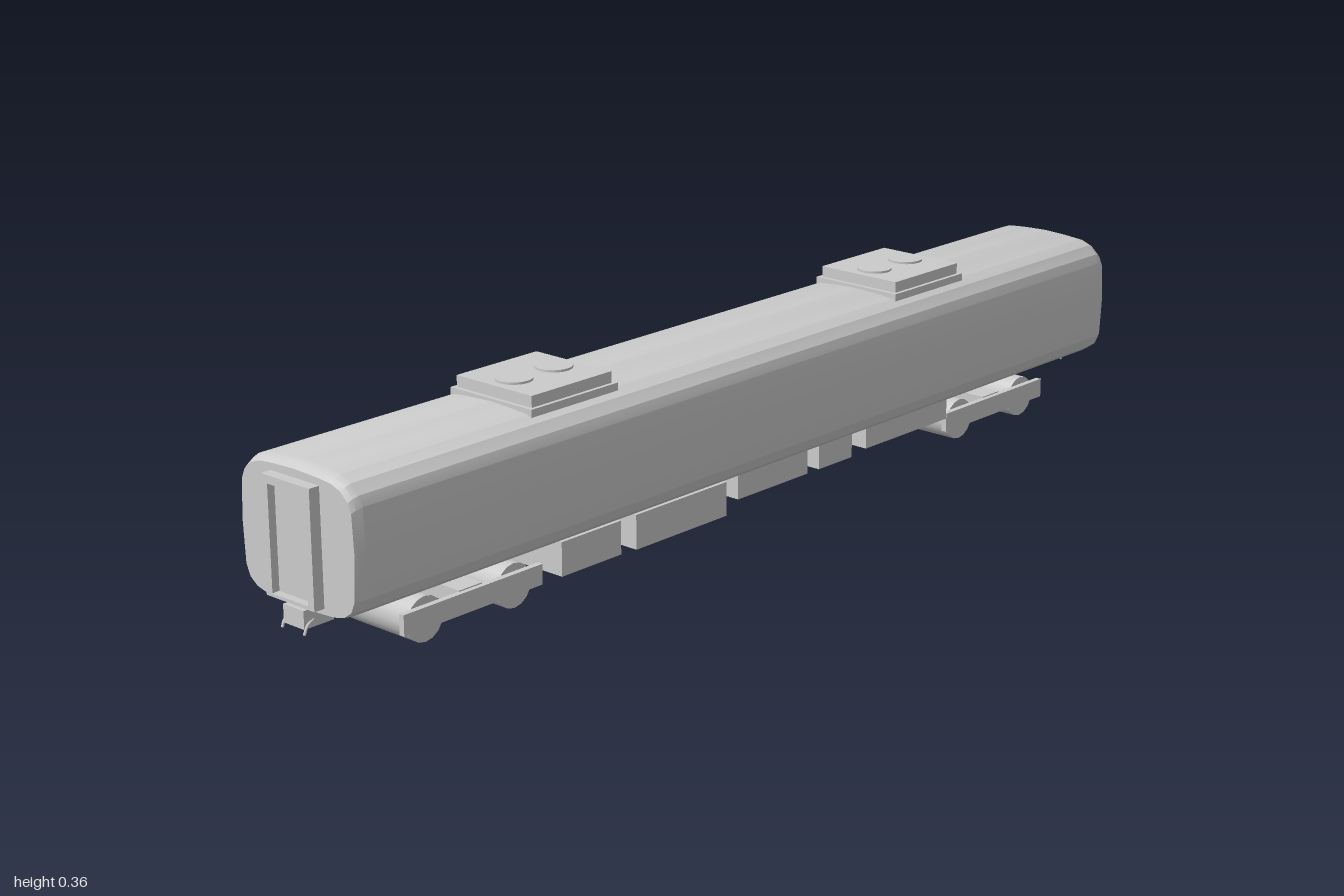
import * as THREE from 'three';
import { toCreasedNormals } from 'three/addons/utils/BufferGeometryUtils.js';

const material = new THREE.MeshStandardMaterial({ color: 0xcccccc });

function add(parent, name, geometry, x = 0, y = 0, z = 0) {
  const mesh = new THREE.Mesh(geometry, material);
  mesh.name = name;
  mesh.position.set(x, y, z);
  parent.add(mesh);
  return mesh;
}

// Box given by its limits on each axis
function block(parent, name, [x0, x1], [y0, y1], [z0, z1]) {
  return add(parent, name, new THREE.BoxGeometry(x1 - x0, y1 - y0, z1 - z0),
    (x0 + x1) / 2, (y0 + y1) / 2, (z0 + z1) / 2);
}

// Body shell: rounded section swept along z, drawn in slightly at both ends
function bodyGeometry() {
  const half = [[0.05, 0.329], [0.085, 0.326], [0.108, 0.317], [0.124, 0.301], [0.131, 0.284],
    [0.135, 0.21], [0.131, 0.135], [0.122, 0.115], [0.105, 0.103], [0.08, 0.097], [0.04, 0.095]];
  // Counterclockwise seen from +z
  const section = [[0, 0.095], ...half.slice().reverse(), [0, 0.331],
    ...half.map(([x, y]) => [-x, y])];
  const rings = [[-0.98, 1], [-0.972, 0.4], [-0.96, 0], [0.96, 0], [0.972, 0.4], [0.98, 1]];
  const n = section.length;
  const positions = [], index = [];
  for (const [z, inset] of rings) {
    for (const [x, y] of section) {
      const drop = y > 0.21 ? 0.09 : 0.01;
      positions.push(x * (1 - 0.03 * inset), y - (y - 0.21) * drop * inset, z);
    }
  }
  for (let r = 0; r < rings.length - 1; r++) {
    for (let i = 0; i < n; i++) {
      const a = r * n + i, b = r * n + (i + 1) % n;
      index.push(a, b, b + n, a, b + n, a + n);
    }
  }
  // End walls
  const last = (rings.length - 1) * n;
  for (let i = 1; i < n - 1; i++) {
    index.push(0, i + 1, i, last, last + i, last + i + 1);
  }
  const geometry = new THREE.BufferGeometry();
  geometry.setAttribute('position', new THREE.Float32BufferAttribute(positions, 3));
  geometry.setIndex(index);
  return toCreasedNormals(geometry, 0.35);
}

// Gangway frame, recessed door and coupler for the +z end
function createEnd() {
  const end = new THREE.Group();
  const rect = (Type, w, y0, y1) => new Type([
    new THREE.Vector2(-w, y0), new THREE.Vector2(w, y0),
    new THREE.Vector2(w, y1), new THREE.Vector2(-w, y1)]);
  const frame = rect(THREE.Shape, 0.056, 0.107, 0.306);
  frame.holes.push(rect(THREE.Path, 0.042, 0.113, 0.292));
  add(end, 'gangwayFrame',
    new THREE.ExtrudeGeometry(frame, { depth: 0.025, bevelEnabled: false }), 0, 0, 0.975);
  block(end, 'endDoor', [-0.042, 0.042], [0.113, 0.292], [0.975, 0.986]);

  block(end, 'couplerHead', [-0.024, 0.024], [0.068, 0.099], [0.935, 0.995]);
  for (const side of [-1, 1]) {
    const curve = new THREE.CatmullRomCurve3([
      new THREE.Vector3(side * 0.023, 0.08, 0.975),
      new THREE.Vector3(side * 0.026, 0.074, 0.99),
      new THREE.Vector3(side * 0.026, 0.06, 0.997)]);
    add(end, 'couplerHook', new THREE.TubeGeometry(curve, 6, 0.0025, 6));
  }
  return end;
}

// Roof cooling unit with two round fans
function createRoofUnit() {
  const unit = new THREE.Group();
  unit.name = 'roofUnit';
  block(unit, 'roofUnitBase', [-0.094, 0.094], [0.315, 0.336], [-0.1, 0.1]);
  block(unit, 'roofUnitHousing', [-0.087, 0.087], [0.336, 0.356], [-0.092, 0.092]);
  for (const z of [-0.046, 0.046]) {
    add(unit, 'roofFan', new THREE.CylinderGeometry(0.032, 0.032, 0.008, 24), 0, 0.356, z);
  }
  return unit;
}

// Bogie: two side beams, centre pivot and two wide rollers
function createBogie() {
  const bogie = new THREE.Group();
  bogie.name = 'bogie';
  for (const side of [-1, 1]) {
    add(bogie, 'bogieSideBeam', new THREE.BoxGeometry(0.011, 0.036, 0.305), side * 0.0795, 0.046, 0);
    const wheel = add(bogie, 'wheelset',
      new THREE.CylinderGeometry(0.039, 0.039, 0.148, 16), 0, 0.039, side * 0.098);
    wheel.rotation.z = Math.PI / 2;
  }
  block(bogie, 'bogieBolster', [-0.076, 0.076], [0.04, 0.066], [-0.025, 0.025]);
  block(bogie, 'bogiePivot', [-0.033, 0.033], [0.064, 0.1], [-0.025, 0.025]);
  return bogie;
}

export function createModel() {
  const model = new THREE.Group();
  model.name = 'railCar';
  add(model, 'body', bodyGeometry());

  for (const side of [1, -1]) {
    const end = createEnd();
    end.name = side > 0 ? 'frontEnd' : 'rearEnd';
    end.rotation.y = side > 0 ? 0 : Math.PI;
    const roofUnit = createRoofUnit();
    roofUnit.position.z = side * 0.467;
    const bogie = createBogie();
    bogie.position.z = side * 0.693;
    model.add(end, roofUnit, bogie);
  }

  // Equipment boxes under the floor: z limits, bottom height, x limits
  const boxes = [
    [0.38, 0.52, 0.042, -0.103, 0.11],
    [0.115, 0.343, 0.04, -0.103, 0.11],
    [-0.11, 0.077, 0.058, -0.11, 0.103],
    [-0.235, -0.142, 0.058, -0.11, 0.103],
    [-0.516, -0.276, 0.064, -0.103, 0.103]];
  for (const [z0, z1, y0, x0, x1] of boxes) {
    block(model, 'underfloorBox', [x0, x1], [y0, 0.102], [z0, z1]);
  }
  block(model, 'underfloorRail', [-0.06, 0.06], [0.088, 0.1], [-0.516, 0.52]);
  return model;
}
